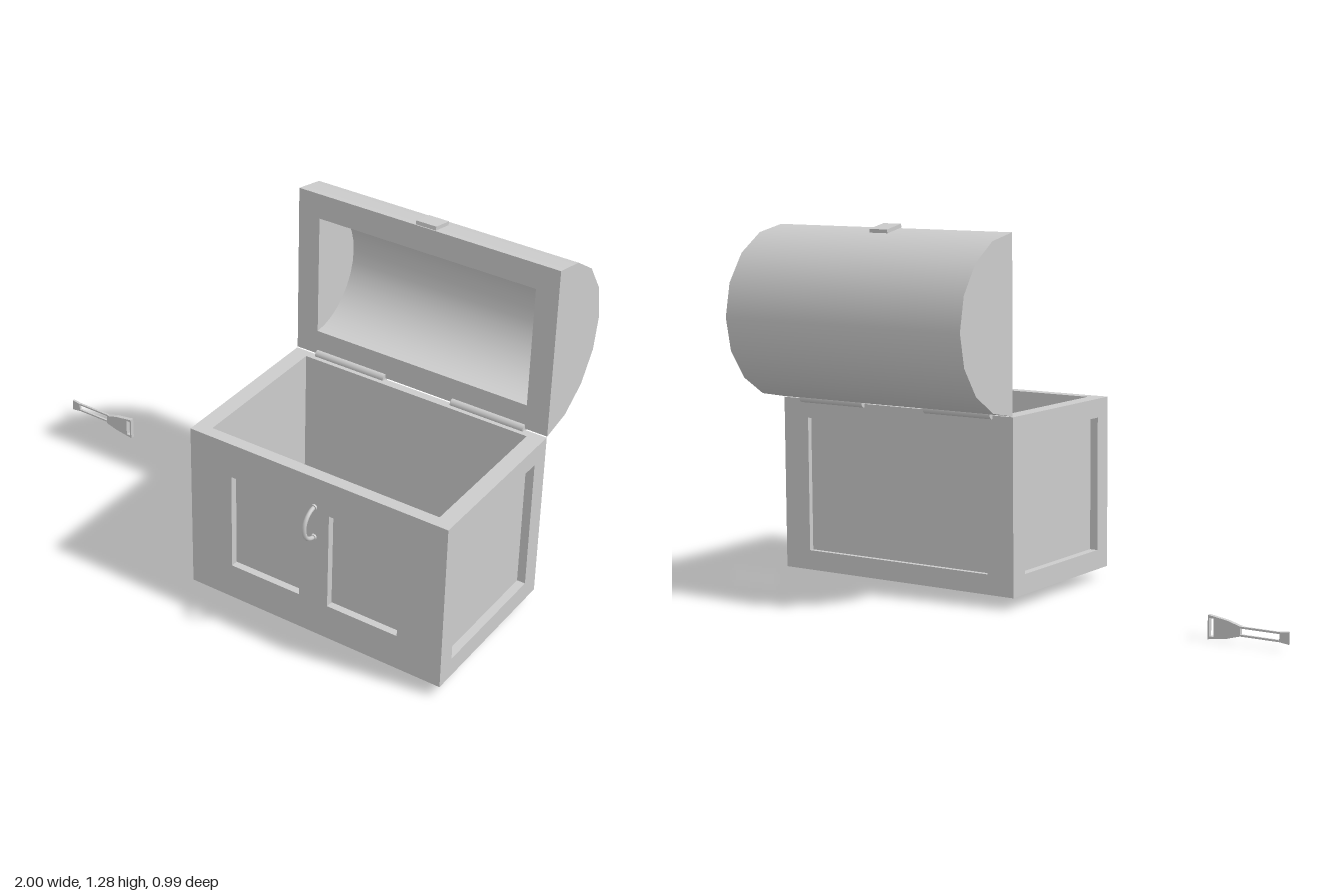
import * as THREE from 'three';

const grey = new THREE.MeshStandardMaterial({ color: 0xcccccc });
const greyDouble = new THREE.MeshStandardMaterial({ color: 0xcccccc, side: THREE.DoubleSide });

const CX = 0.51, X0 = 0.025, X1 = 0.995;      // chest extent in x
const Y0 = 0.043, Y1 = 0.657;                 // chest body height
const ZB = -0.185, ZF = 0.43;                 // chest back and front

function add(parent, name, geometry, x = 0, y = 0, z = 0, material = grey) {
  const mesh = new THREE.Mesh(geometry, material);
  mesh.name = name;
  mesh.position.set(x, y, z);
  parent.add(mesh);
  return mesh;
}

function polygon(points, ctor = THREE.Shape) {
  return new ctor(points.map(([x, y]) => new THREE.Vector2(x, y)));
}

function rect(x0, y0, x1, y1, ctor) {
  return polygon([[x0, y0], [x1, y0], [x1, y1], [x0, y1]], ctor);
}

function extrude(shape, depth) {
  return new THREE.ExtrudeGeometry(shape, { depth, bevelEnabled: false });
}

// Wall with its outer face at local z = 0: a pierced frame on a plain backing
function wall(name, width, thickness, recess, holes) {
  const group = new THREE.Group();
  group.name = name;
  const shape = rect(-width / 2, Y0, width / 2, Y1);
  holes.forEach((h) => shape.holes.push(rect(...h, THREE.Path)));
  add(group, 'panelFrame', extrude(shape, recess), 0, 0, -recess);
  const back = thickness - recess;
  add(group, 'panelBacking', new THREE.BoxGeometry(width, Y1 - Y0, back),
    0, (Y0 + Y1) / 2, -recess - back / 2);
  return group;
}

function makeBody() {
  const body = new THREE.Group();
  body.name = 'chestBody';
  const zi0 = -0.155, zi1 = 0.387, zc = (zi0 + zi1) / 2;

  const front = wall('frontWall', X1 - X0, ZF - zi1, 0.026,
    [[-0.323, 0.173, -0.055, 0.53], [0.055, 0.173, 0.32, 0.53]]);
  front.position.set(CX, 0, ZF);

  const back = wall('backWall', X1 - X0, zi0 - ZB, 0.018, [[-0.38, 0.113, 0.38, 0.59]]);
  back.position.set(CX, 0, ZB);
  back.rotation.y = Math.PI;
  body.add(front, back);

  for (const s of [1, -1]) {
    const side = wall(s > 0 ? 'leftWall' : 'rightWall', zi1 - zi0, 0.057, 0.03,
      [[-0.238 - s * 0.008, 0.113, 0.238 - s * 0.008, 0.59]]);
    side.position.set(s > 0 ? X1 : X0, 0, zc);
    side.rotation.y = s * Math.PI / 2;
    body.add(side);
  }
  add(body, 'floor', new THREE.BoxGeometry(X1 - X0 - 0.114, 0.04, zi1 - zi0), CX, Y0 + 0.02, zc);
  return body;
}

// Open lid: half barrel standing on its edge, hollowed by a smaller half barrel
function makeLid() {
  const lid = new THREE.Group();
  lid.name = 'lid';
  lid.position.set(CX, 0.965, -0.187);
  const R = 0.305, r = 0.2155, W = X1 - X0, w = 0.808;

  const half = (radius, length, segments) =>
    new THREE.CylinderGeometry(radius, radius, length, segments, 1, false, Math.PI / 2, Math.PI)
      .rotateZ(Math.PI / 2);
  add(lid, 'lidShell', half(R, W, 8));
  add(lid, 'lidHollow', half(r, w, 16), 0, 0, 0, greyDouble);

  const rim = rect(-W / 2, -R, W / 2, R);
  rim.holes.push(rect(-w / 2, -r, w / 2, r, THREE.Path));
  add(lid, 'lidRim', new THREE.ShapeGeometry(rim), 0, 0, 0, greyDouble);

  const plate = add(lid, 'latchPlate', new THREE.BoxGeometry(0.074, 0.013, 0.082), 0, 0.306, -0.041);
  plate.rotation.x = -0.195;
  return lid;
}

// Half-ring pull with a small flange at each end
function makePull() {
  const pull = new THREE.Group();
  pull.name = 'pullHandle';
  pull.position.set(CX, 0.487, ZF);
  const ring = new THREE.TorusGeometry(0.058, 0.0075, 8, 16, Math.PI);
  add(pull, 'pullRing', ring.rotateZ(-Math.PI / 2).rotateY(-Math.PI / 2));
  for (const s of [1, -1]) {
    add(pull, 'pullFlange', new THREE.CylinderGeometry(0.011, 0.011, 0.008, 10).rotateX(Math.PI / 2),
      0, s * 0.058, 0.003);
  }
  return pull;
}

// Loose hasp: flared slotted head, two thin rails and a small end block
function makeHasp() {
  const hasp = new THREE.Group();
  hasp.name = 'looseHasp';
  const yc = 0.042;

  const head = polygon([[-0.83, -0.016], [-0.785, -0.029], [-0.715, -0.04],
    [-0.715, 0.04], [-0.785, 0.029], [-0.83, 0.016]]);
  head.holes.push(rect(-0.736, -0.03, -0.72, 0.03, THREE.Path));
  add(hasp, 'haspHead', extrude(head, 0.015), 0, yc, -0.19);

  for (const s of [1, -1]) {
    add(hasp, 'haspRail', new THREE.BoxGeometry(0.142, 0.006, 0.008), -0.899, yc + s * 0.013, -0.186);
  }
  const end = polygon([[-1, -0.02], [-0.967, -0.016], [-0.967, 0.016], [-1, 0.02]]);
  add(hasp, 'haspEnd', extrude(end, 0.009), 0, yc, -0.19);
  return hasp;
}

export function createModel() {
  const model = new THREE.Group();
  model.name = 'openChest';
  model.add(makeBody(), makeLid(), makePull(), makeHasp());

  // Hinge barrels along the back edge
  for (const x of [0.244, 0.777]) {
    add(model, 'hinge', new THREE.CylinderGeometry(0.016, 0.016, 0.273, 10).rotateZ(Math.PI / 2),
      x, 0.66, -0.186);
  }
  return model;
}
